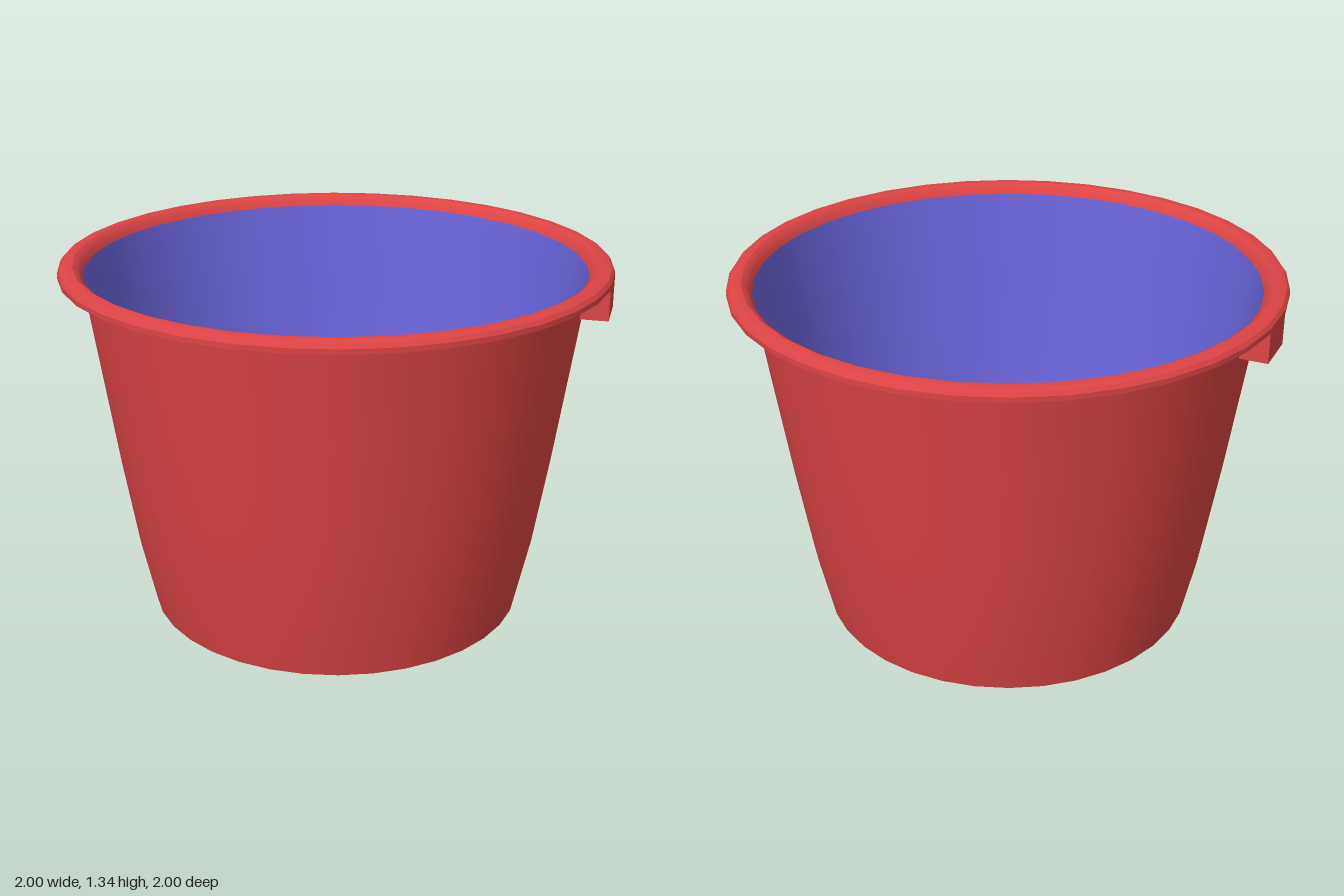
import * as THREE from 'three';
import { toCreasedNormals } from 'three/addons/utils/BufferGeometryUtils.js';

const SIDES = 36;
const HALF = Math.PI / SIDES;
const red = new THREE.MeshStandardMaterial({ color: 0xdd4444 });
const blue = new THREE.MeshStandardMaterial({ color: 0x6a66dd });

// Turned part; radii are measured to the flats, which face the x and z axes
function turned(name, profile, material, crease) {
  const points = profile.map(([r, y]) => new THREE.Vector2(r / Math.cos(HALF), y));
  const geometry = new THREE.LatheGeometry(points, SIDES, HALF);
  const mesh = new THREE.Mesh(toCreasedNormals(geometry, crease), material);
  mesh.name = name;
  return mesh;
}

export function createModel() {
  const group = new THREE.Group();
  group.name = 'bucket';

  // Tapered wall, slightly bowed towards the base
  const wall = [[0.703, 0], [0.755, 0.24], [0.81, 0.58], [0.862, 0.94], [0.914, 1.3]];
  group.add(turned('outerShell', [[0, 0], ...wall], red, 0.6));

  // Thin lining: wall and floor seen from inside
  const lining = wall.map(([r, y]) => [r - 0.004, Math.max(y, 0.004)]).reverse();
  group.add(turned('innerLining', [...lining, [0, 0.004]], blue, 0.6));

  // Overhanging rolled rim
  group.add(turned('rim', [
    [0.91, 1.3], [0.998, 1.3], [0.998, 1.318], [0.988, 1.332], [0.97, 1.339],
    [0.945, 1.339], [0.93, 1.33], [0.92, 1.318], [0.91, 1.3],
  ], red, 0.5));

  // Handle lugs under the rim, their inner face sloping with the wall
  const section = new THREE.Shape([
    new THREE.Vector2(0.897, 1.19), new THREE.Vector2(0.998, 1.19),
    new THREE.Vector2(0.998, 1.302), new THREE.Vector2(0.913, 1.302),
  ]);
  const lugGeometry = new THREE.ExtrudeGeometry(section, { depth: 0.176, bevelEnabled: false });
  lugGeometry.translate(0, 0, -0.088);
  for (const [name, angle] of [['leftLug', 0], ['rightLug', Math.PI]]) {
    const lug = new THREE.Mesh(lugGeometry, red);
    lug.name = name;
    lug.rotation.y = angle;
    group.add(lug);
  }
  return group;
}
